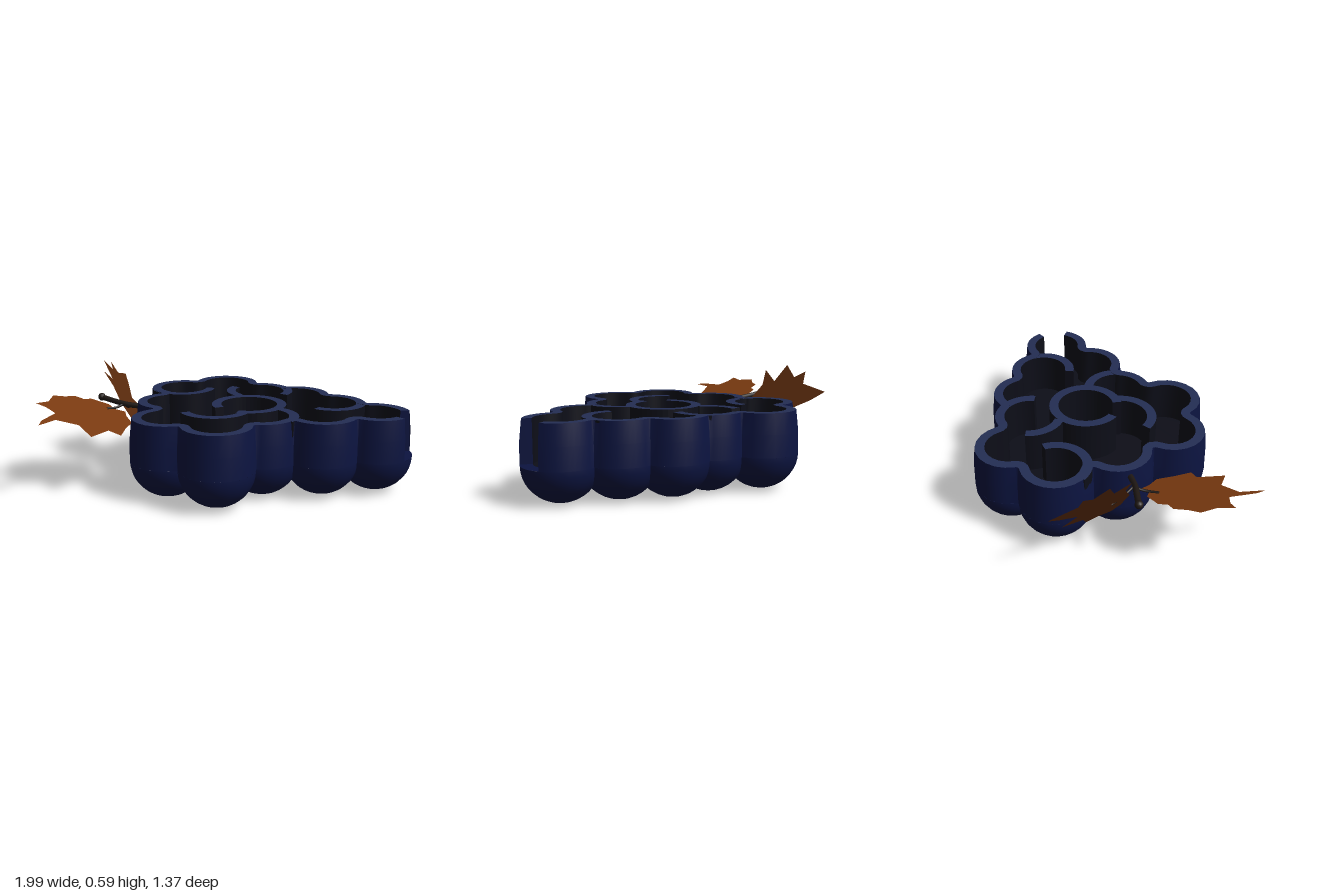
import * as THREE from 'three';
import { toCreasedNormals } from 'three/addons/utils/BufferGeometryUtils.js';

const R = 0.2, FLOOR = 0.2, TOP = 0.43, WALL = 0.066;
const NOTCH = [-0.31, 0.7]; // opening in the tip berry, in radians

// Outer berries (x, z) in order around the bunch, starting with the tip
const RING = [
  [0.79, 0.08], [0.51, 0.195], [0.2, 0.25], [0, 0.475], [-0.28, 0.36], [-0.34, 0.02],
  [-0.345, -0.32], [-0.11, -0.49], [0.12, -0.315], [0.34, -0.26], [0.55, -0.09],
].map(([x, z]) => new THREE.Vector2(x, z));
const INNER = [new THREE.Vector2(0.1, 0.01), new THREE.Vector2(-0.065, 0.16)];

const mat = (color) => new THREE.MeshStandardMaterial({ color, side: THREE.DoubleSide });

function add(parent, name, geometry, material) {
  const mesh = new THREE.Mesh(geometry, material);
  mesh.name = name;
  parent.add(mesh);
  return mesh;
}

// Outward crossing point of two neighbouring berry circles
function crossing(a, b) {
  const d = b.clone().sub(a), half = d.length() / 2;
  const out = new THREE.Vector2(d.y, -d.x).normalize();
  return a.clone().add(b).multiplyScalar(0.5).addScaledVector(out, Math.sqrt(R * R - half * half));
}

// Scalloped outline of the bunch, moved inward by t; open at the notch
function outline(t) {
  const pts = [], n = RING.length;
  const polar = (c, r, a) => new THREE.Vector2(c.x + r * Math.cos(a), c.y + r * Math.sin(a));
  for (let i = 0; i <= n; i++) {
    const c = RING[i % n];
    const angleTo = (p) => Math.atan2(p.y - c.y, p.x - c.x);
    const a0 = i === 0 ? NOTCH[1] : angleTo(crossing(RING[i - 1], c));
    let a1 = i === n ? NOTCH[0] : angleTo(crossing(c, RING[(i + 1) % n]));
    while (a1 < a0) a1 += Math.PI * 2;
    for (let k = 0; k <= 10; k++) pts.push(polar(c, R - t, a0 + (a1 - a0) * k / 10));
    if (i === n) break;
    // rounded turn about the crossing point
    const next = RING[(i + 1) % n], p = crossing(c, next);
    const u = c.clone().sub(p).normalize(), v = next.clone().sub(p).normalize();
    for (let k = 1; k < 4; k++) {
      pts.push(p.clone().addScaledVector(u.clone().lerp(v, k / 4).normalize(), t));
    }
  }
  return pts;
}

const level = (t, y) => outline(t).map((p) => new THREE.Vector3(p.x, y, p.y));

// Surface through rows of points
function loft(rows) {
  const n = rows[0].length, index = [];
  for (let k = 0; k < rows.length - 1; k++) {
    for (let i = 0; i < n - 1; i++) {
      const a = k * n + i, c = a + n;
      index.push(a, c, a + 1, a + 1, c, c + 1);
    }
  }
  const g = new THREE.BufferGeometry().setFromPoints(rows.flat());
  g.setIndex(index);
  return toCreasedNormals(g, 0.6);
}

// Curved maze wall: centre, middle radius, start and end in degrees
function mazeWall(x, z, r, start, end) {
  const a = THREE.MathUtils.degToRad(start), b = THREE.MathUtils.degToRad(end);
  const s = new THREE.Shape();
  s.absarc(x, z, r + 0.026, a, b, false);
  s.absarc(x, z, r - 0.026, b, a, true);
  const g = new THREE.ExtrudeGeometry(s, { depth: TOP - FLOOR, bevelEnabled: false, curveSegments: 20 });
  return g.rotateX(Math.PI / 2).translate(0, TOP - 0.001, 0);
}

// Flat leaf drawn in x, z and tilted by a height rule
function leafGeometry(points, height) {
  const g = new THREE.ShapeGeometry(new THREE.Shape(points.map(([x, z]) => new THREE.Vector2(x, z))));
  const p = g.attributes.position;
  for (let i = 0; i < p.count; i++) {
    const x = p.getX(i), z = p.getY(i);
    p.setXYZ(i, x, height(x, z), z);
  }
  g.computeVertexNormals();
  return g;
}

function twig(points, radius) {
  const curve = new THREE.CatmullRomCurve3(points.map((p) => new THREE.Vector3(...p)));
  return new THREE.TubeGeometry(curve, 10, radius, 8);
}

export function createModel() {
  const model = new THREE.Group();
  const skin = mat(0x0c1440), rim = mat(0x242e54), inside = mat(0x0d0e18);
  const leafBrown = mat(0x7a3a10), leafDark = mat(0x5a2a0c), bark = mat(0x1f1814);

  // Rounded undersides of all berries
  const bowl = new THREE.Group();
  bowl.name = 'grapeBowl';
  model.add(bowl);
  const half = new THREE.SphereGeometry(R, 24, 10, 0, Math.PI * 2, Math.PI / 2, Math.PI / 2);
  half.scale(1, 0.97, 1);
  for (const c of [...RING, ...INNER]) {
    add(bowl, 'berryBase', half, skin).position.set(c.x, FLOOR, c.y);
  }

  // Outer wall, rim and inner wall
  const outer = [level(0, FLOOR), level(0.003, 0.32), level(0.015, TOP)];
  const innerTop = level(WALL, TOP), innerBottom = level(WALL, FLOOR);
  add(bowl, 'outerWall', loft(outer), skin);
  add(bowl, 'rim', loft([outer[2], innerTop]), rim);
  add(bowl, 'innerWall', loft([innerTop, innerBottom]), inside);
  for (const i of [0, innerTop.length - 1]) {
    add(bowl, 'notchSide', loft([[outer[0][i], outer[2][i]], [innerBottom[i], innerTop[i]]]), skin);
  }

  // Floor, and the sill in the notch
  const floor = new THREE.ShapeGeometry(new THREE.Shape(outline(WALL / 2))).rotateX(Math.PI / 2);
  add(bowl, 'floor', floor.translate(0, FLOOR, 0), inside);
  const sill = new THREE.RingGeometry(R - WALL, R, 12, 1, -NOTCH[1], NOTCH[1] - NOTCH[0]);
  add(bowl, 'notchSill', sill.rotateX(-Math.PI / 2), skin).position.set(RING[0].x, FLOOR + 0.002, RING[0].y);

  // Maze of arcs inside
  for (const arc of [
    [0.1, 0.015, 0.18, 145, 462],
    [-0.065, 0.16, 0.17, 15, 150],
    [-0.345, -0.32, 0.165, -3, 150],
    [0.12, -0.31, 0.17, 125, 205],
    [0.12, -0.31, 0.165, -45, 28],
    [0.55, -0.09, 0.16, -15, 119],
    [0.2, 0.25, 0.168, -65, 30],
  ]) add(bowl, 'mazeWall', mazeWall(...arc), [rim, inside]);

  // Leaves
  add(model, 'frontLeaf', leafGeometry([
    [-0.8, 0.04], [-0.7, 0.03], [-0.655, 0.065], [-0.6, 0.05], [-0.58, 0.1], [-0.53, 0.165],
    [-0.535, 0.27], [-0.53, 0.365], [-0.6, 0.36], [-0.645, 0.5], [-0.74, 0.42], [-0.85, 0.455],
    [-0.89, 0.58], [-0.9, 0.52], [-0.88, 0.38], [-0.94, 0.35], [-1, 0.345], [-0.96, 0.27],
    [-0.97, 0.175], [-0.92, 0.135], [-0.88, 0.08], [-0.83, 0.08],
  ], (x, z) => 0.33 + 0.32 * (-0.53 - x) - 0.07 * (z - 0.2)), leafBrown);
  add(model, 'backLeaf', leafGeometry([
    [-0.76, -0.5], [-0.72, -0.43], [-0.67, -0.32], [-0.635, -0.39], [-0.61, -0.27], [-0.57, -0.24],
    [-0.575, -0.18], [-0.565, -0.1], [-0.59, -0.06], [-0.65, -0.04], [-0.71, -0.09], [-0.76, -0.08],
    [-0.735, -0.16], [-0.8, -0.21], [-0.77, -0.28], [-0.8, -0.34], [-0.76, -0.35],
  ], (x, z) => 0.6 - 1.7 * (x + 0.8) + 0.25 * (z + 0.21)), leafDark);

  // Stem and leaf stalks
  add(model, 'stem', twig([[-0.77, 0.42, -0.045], [-0.68, 0.405, -0.015], [-0.6, 0.395, 0.01], [-0.5, 0.39, 0.02]], 0.016), bark);
  add(model, 'stemEnd', new THREE.SphereGeometry(0.022, 10, 8), bark).position.set(-0.765, 0.42, -0.043);
  add(model, 'backStalk', twig([[-0.6, 0.395, 0.01], [-0.62, 0.37, -0.05], [-0.635, 0.34, -0.13]], 0.007), bark);
  add(model, 'frontStalk', twig([[-0.62, 0.397, 0], [-0.65, 0.385, 0.05], [-0.69, 0.39, 0.1]], 0.007), bark);
  return model;
}
